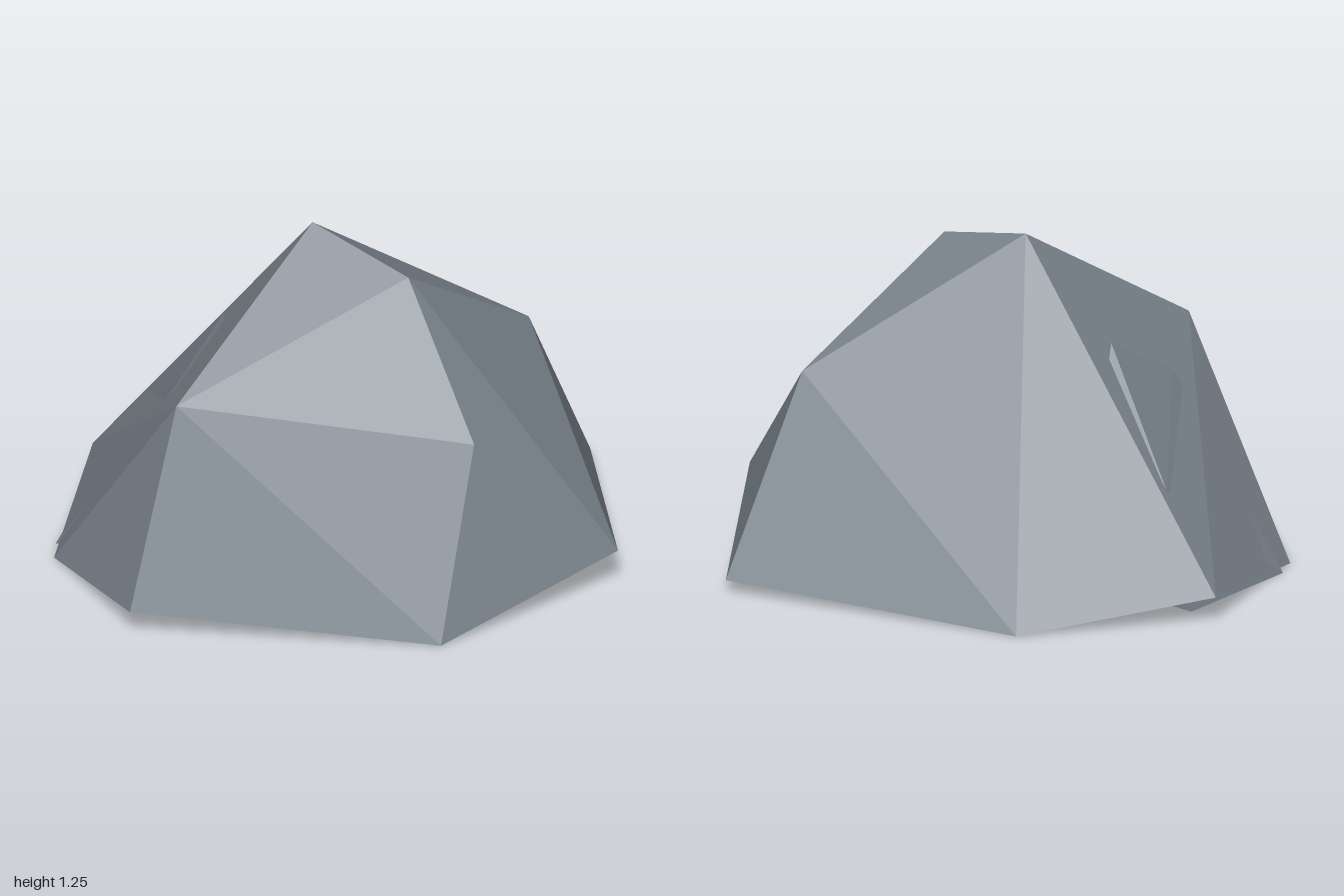
import * as THREE from 'three';
import { ConvexGeometry } from 'three/addons/geometries/ConvexGeometry.js';

const stone = new THREE.MeshStandardMaterial({ color: 0x7a838c });
stone.name = 'greyStone';

// Faceted rock: the convex hull of a few corner points, flat normals
function rock(name, corners) {
  const geometry = new ConvexGeometry(corners.map((p) => new THREE.Vector3(...p)));
  const mesh = new THREE.Mesh(geometry, stone);
  mesh.name = name;
  return mesh;
}

export function createModel() {
  const group = new THREE.Group();
  group.name = 'boulder';

  group.add(rock('mainBoulder', [
    // rim near the ground
    [-1, 0, 0.2], [-0.7, 0.1, 0.75], [0.4, 0, 0.75], [1, 0.15, 0.3],
    [0.85, 0.05, -0.6], [-0.25, 0, -0.75], [-0.9, 0.1, -0.45],
    // shoulders
    [-0.55, 0.8, 0.5], [0.5, 0.65, 0.45], [0.65, 0.75, -0.3],
    // peak ridge
    [-0.1, 1.25, -0.05], [0.25, 1.15, 0.15],
  ]));

  // Smaller slab leaning into the right flank, mostly buried
  group.add(rock('sideSlab', [
    [-0.414, 0.87, -0.056], [-0.42, 0.76, -0.15], [-0.68, 0.43, -0.3],
    [-0.574, 0.7, 0.187], [-1, 0, 0.1], [-0.786, 0, -0.354],
    [-0.4, 0.01, 0.15], [-0.4, 0.01, -0.2],
  ]));

  return group;
}
